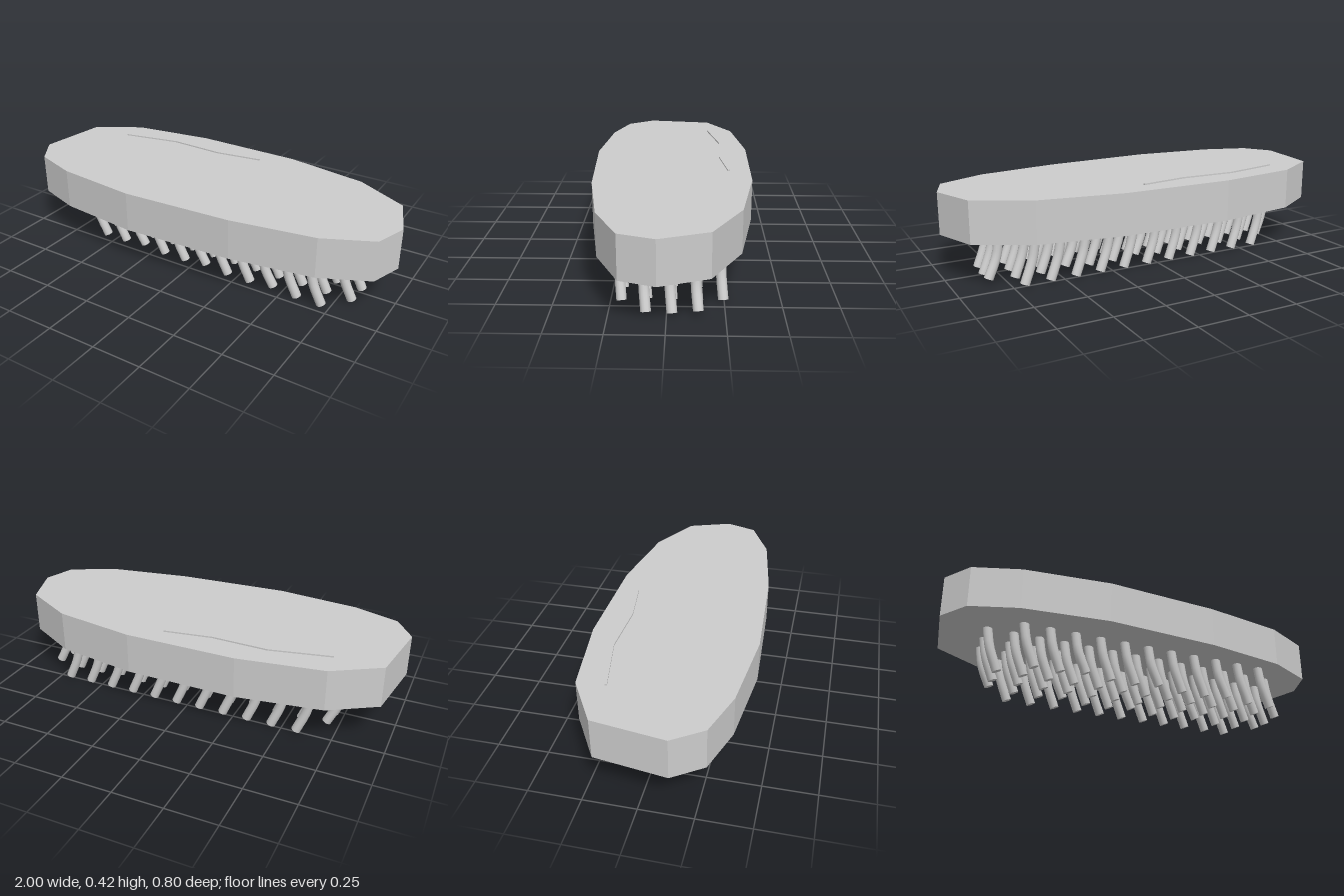
import * as THREE from 'three';

const grey = new THREE.MeshStandardMaterial({ color: 0xcccccc });
grey.name = 'plain grey';
const greyFlat = grey;

// Flat slab with an irregular oval outline, given as (x, z)
function makeBody() {
  const outline = [
    [-0.26, 0.4], [0.3, 0.37], [0.71, 0.305], [0.945, 0.195], [1, 0.035],
    [0.92, -0.185], [0.66, -0.325], [0.245, -0.395], [-0.31, -0.4],
    [-0.725, -0.34], [-0.95, -0.205], [-1, 0.14], [-0.905, 0.28], [-0.68, 0.355],
  ];
  const shape = new THREE.Shape(outline.map(([x, z]) => new THREE.Vector2(x, -z)));
  const geo = new THREE.ExtrudeGeometry(shape, { depth: 0.203, bevelEnabled: false });
  geo.rotateX(-Math.PI / 2);
  const body = new THREE.Mesh(geo, greyFlat);
  body.position.y = 0.215;
  body.name = 'brushBack';
  return body;
}

// One bent bristle: straight at the root, leaning towards +x at the tip
function makeBristle(tubeGeo, capGeo) {
  const bristle = new THREE.Group();
  bristle.name = 'bristle';
  const shaft = new THREE.Mesh(tubeGeo, grey);
  shaft.name = 'bristleShaft';
  const tip = new THREE.Mesh(capGeo, grey);
  tip.name = 'bristleTip';
  bristle.add(shaft, tip);
  return bristle;
}

function bristleGeometries(tipY) {
  const path = new THREE.CatmullRomCurve3([
    new THREE.Vector3(0, 0.22, 0),
    new THREE.Vector3(0.018, 0.12, -0.001),
    new THREE.Vector3(0.062, tipY, -0.011),
  ]);
  const tube = new THREE.TubeGeometry(path, 6, 0.023, 12, false);
  const cap = new THREE.CircleGeometry(0.023, 12);
  const turn = new THREE.Quaternion().setFromUnitVectors(
    new THREE.Vector3(0, 0, 1), path.getTangent(1));
  cap.applyQuaternion(turn);
  const end = path.getPoint(1);
  cap.translate(end.x, end.y, end.z);
  return [tube, cap];
}

export function createModel() {
  const model = new THREE.Group();
  model.name = 'scrubBrush';
  model.add(makeBody());

  // Bristle rows: the outer rows are shorter, to follow the oval
  const bristles = new THREE.Group();
  bristles.name = 'bristles';
  const long = bristleGeometries(0.01);
  const short = bristleGeometries(0.024);
  const rows = [
    { z: 0.212, reach: 5, shift: 0.012 },
    { z: 0.1, reach: 6, shift: -0.008 },
    { z: -0.012, reach: 6, shift: 0 },
    { z: -0.124, reach: 6, shift: 0.008 },
    { z: -0.235, reach: 5, shift: 0 },
  ];
  rows.forEach(({ z, reach, shift }, r) => {
    for (let i = -reach; i <= reach; i++) {
      const geos = r % 3 === 0 && i % 3 === 0 ? short : long;
      const bristle = makeBristle(...geos);
      bristle.position.set(i * 0.127 + shift, 0, z);
      bristles.add(bristle);
    }
  });
  model.add(bristles);

  // Thin raised line on the top face
  const line = [[-0.715, -0.205], [-0.42, -0.265], [-0.14, -0.255], [0.1, -0.29]];
  for (let i = 0; i < line.length - 1; i++) {
    const [x0, z0] = line[i];
    const [x1, z1] = line[i + 1];
    const length = Math.hypot(x1 - x0, z1 - z0);
    const strip = new THREE.Mesh(new THREE.BoxGeometry(length, 0.008, 0.01), greyFlat);
    strip.position.set((x0 + x1) / 2, 0.421, (z0 + z1) / 2);
    strip.rotation.y = -Math.atan2(z1 - z0, x1 - x0);
    strip.name = 'topLine';
    model.add(strip);
  }
  return model;
}
